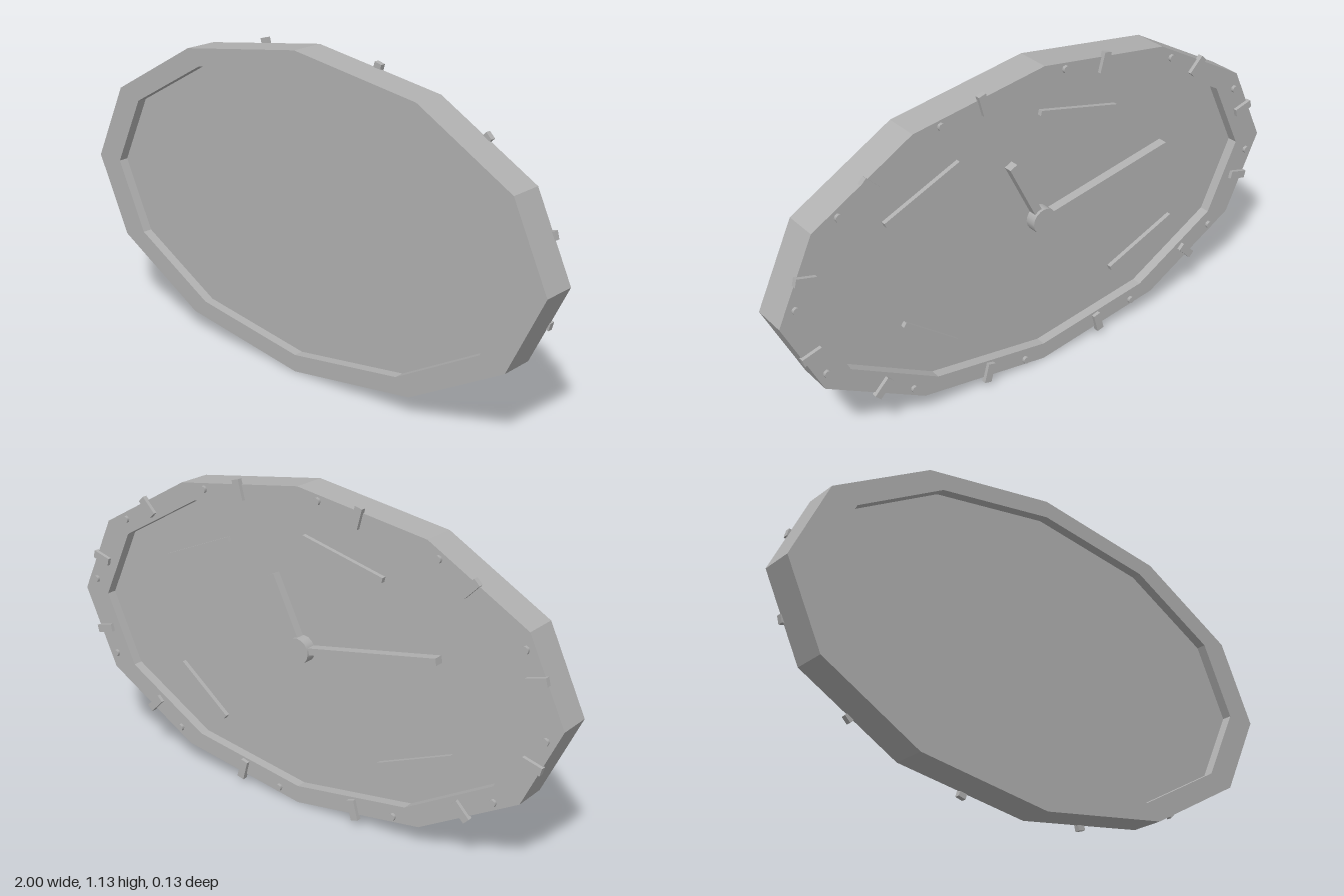
import * as THREE from 'three';

const RY = 0.565;           // height / width ratio of the oval
const RIM_BACK = -0.067, RIM_TOP = 0.054;   // z range of the rim, dial side is +z here
const FLOOR = 0.018;        // sunken dial surface

export function createModel() {
  const grey = new THREE.MeshStandardMaterial({ color: 0xb0b0b0 });
  grey.name = 'plain grey';

  const root = new THREE.Group();
  root.name = 'ovalClock';
  // The dial side looks towards -z of the finished model
  const clock = new THREE.Group();
  clock.name = 'clock';
  clock.rotation.y = Math.PI;
  clock.position.y = RY;
  root.add(clock);

  const add = (name, geometry, x = 0, y = 0, z = 0, turn = 0) => {
    const mesh = new THREE.Mesh(geometry, grey);
    mesh.name = name;
    mesh.position.set(x, y, z);
    mesh.rotation.z = turn;
    clock.add(mesh);
    return mesh;
  };

  // Twelve-sided oval outline
  const outline = (r) => Array.from({ length: 12 }, (_, i) => {
    const a = i * Math.PI / 6;
    return new THREE.Vector2(r * Math.cos(a), r * RY * Math.sin(a));
  });
  const extrude = (shape, depth) =>
    new THREE.ExtrudeGeometry(shape, { depth, bevelEnabled: false });

  // Rim and sunken dial plate
  const rim = new THREE.Shape(outline(1));
  rim.holes.push(new THREE.Path(outline(0.89)));
  add('rim', extrude(rim, RIM_TOP - RIM_BACK), 0, 0, RIM_BACK);
  add('dialPlate', extrude(new THREE.Shape(outline(0.89)), FLOOR + 0.032), 0, 0, -0.032);

  // Hour blocks and minute pegs around the rim
  for (let i = 0; i < 12; i++) {
    const a = (15 + 30 * i) * Math.PI / 180;
    add('hourBlock', new THREE.BoxGeometry(0.072, 0.028, 0.018),
      0.935 * Math.cos(a), 0.935 * RY * Math.sin(a), 0.058, a);
    const b = (25 + 30 * i) * Math.PI / 180;
    const peg = new THREE.CylinderGeometry(0.013, 0.013, 0.016, 8).rotateX(Math.PI / 2);
    add('minutePeg', peg, 0.945 * Math.cos(b), 0.945 * RY * Math.sin(b), 0.057);
  }

  // Straight bar between two points, resting on the dial
  const bar = (name, x1, y1, x2, y2, width, height) =>
    add(name, new THREE.BoxGeometry(Math.hypot(x2 - x1, y2 - y1), width, height),
      (x1 + x2) / 2, (y1 + y2) / 2, FLOOR + height / 2, Math.atan2(y2 - y1, x2 - x1));

  // Four thin dial bars
  bar('dialBar', -0.6, 0.199, -0.316, 0.318, 0.018, 0.016);
  bar('dialBar', 0.003, 0.39, 0.322, 0.314, 0.018, 0.016);
  bar('dialBar', -0.55, -0.193, -0.347, -0.35, 0.018, 0.016);
  bar('dialBar', 0.32, -0.33, 0.602, -0.216, 0.018, 0.016);

  // Hands and hub
  bar('hourHand', 0, 0, -0.12, 0.24, 0.03, 0.03);
  bar('minuteHand', 0, 0, 0.543, 0.102, 0.024, 0.034);
  add('hub', new THREE.CylinderGeometry(0.046, 0.046, 0.04, 16).rotateX(Math.PI / 2),
    0, 0, FLOOR + 0.02);

  return root;
}
